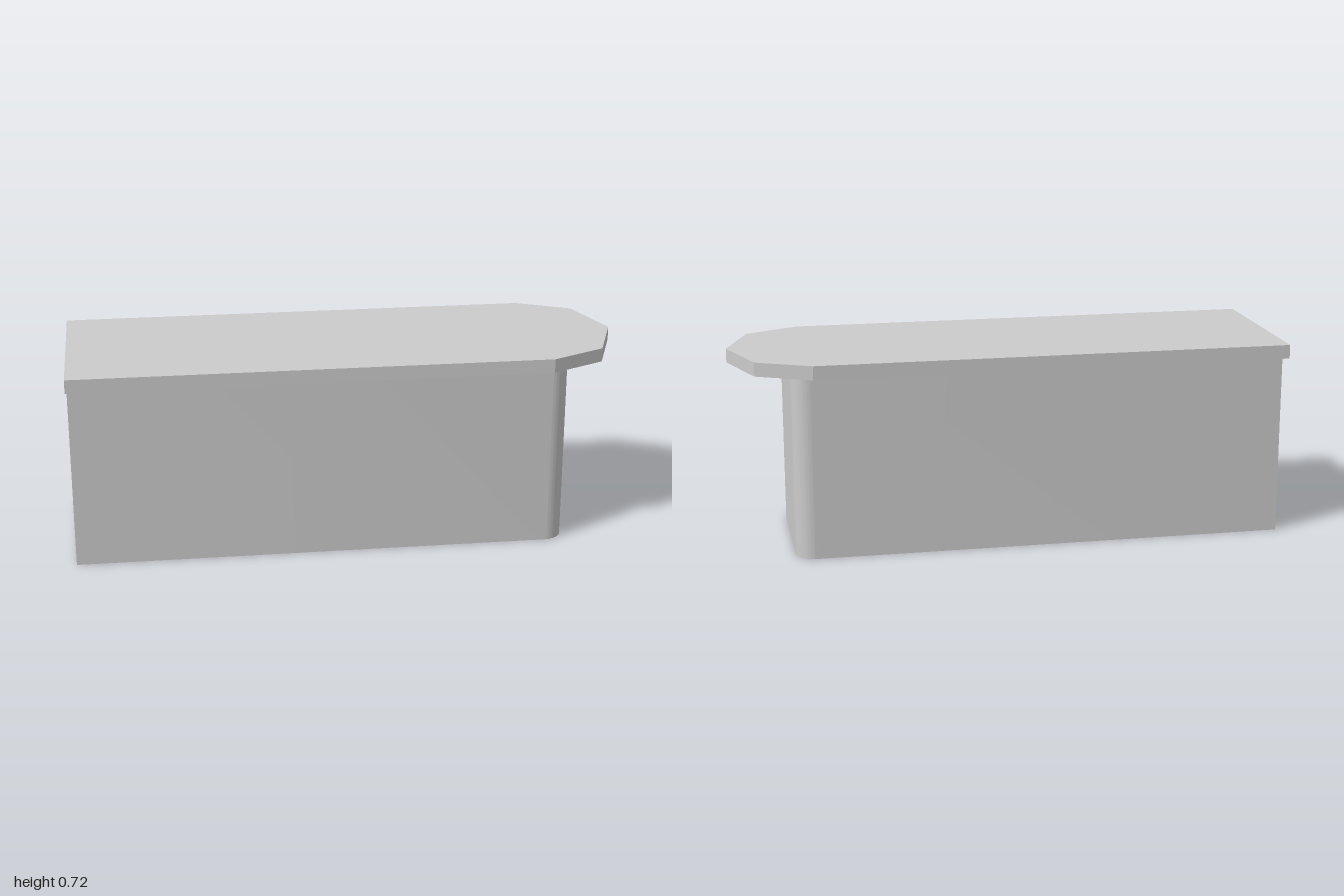
import * as THREE from 'three';
import { toCreasedNormals } from 'three/addons/utils/BufferGeometryUtils.js';

// Extrudes a plan outline (x, -z) upward from y0 to y1.
function extrudeUp(shape, y0, y1) {
  const geo = new THREE.ExtrudeGeometry(shape, { depth: y1 - y0, bevelEnabled: false, curveSegments: 10 });
  return geo.rotateX(-Math.PI / 2).translate(0, y0, 0);
}

// Removes the wall lying on the plane x = value, leaving that end open.
function openEnd(geo, value) {
  const p = geo.attributes.position;
  const kept = [];
  for (let i = 0; i < p.count; i += 3) {
    const onPlane = [0, 1, 2].every((k) => Math.abs(p.getX(i + k) - value) < 1e-4);
    if (onPlane) continue;
    for (let k = 0; k < 3; k++) kept.push(p.getX(i + k), p.getY(i + k), p.getZ(i + k));
  }
  const out = new THREE.BufferGeometry();
  out.setAttribute('position', new THREE.Float32BufferAttribute(kept, 3));
  out.computeVertexNormals();
  return out;
}

export function createModel() {
  const model = new THREE.Group();
  model.name = 'counter';

  // Base cabinet: square at one end, rounded corners at the other
  const back = 0.27, front = -0.29, left = -0.995, right = 0.79, r = 0.07;
  const plan = new THREE.Shape();
  plan.moveTo(left, front);
  plan.lineTo(right - r, front);
  plan.absarc(right - r, front + r, r, -Math.PI / 2, 0, false);
  plan.lineTo(right, back - r);
  plan.absarc(right - r, back - r, r, 0, Math.PI / 2, false);
  plan.lineTo(left, back);
  plan.closePath();
  const base = new THREE.Mesh(
    toCreasedNormals(extrudeUp(plan, 0, 0.67), 0.6),
    new THREE.MeshStandardMaterial({ color: 0xcccccc })
  );
  base.name = 'base';
  model.add(base);

  // Worktop: thin slab with a faceted nose overhanging the rounded end
  const half = [[-1, 0.33], [0.72, 0.33], [0.915, 0.235]];
  const outline = [
    ...half.map(([x, y]) => new THREE.Vector2(x, -y)),
    new THREE.Vector2(1, 0),
    ...half.slice().reverse().map(([x, y]) => new THREE.Vector2(x, y)),
  ];
  const worktop = new THREE.Mesh(
    openEnd(extrudeUp(new THREE.Shape(outline), 0.67, 0.72), -1),
    new THREE.MeshStandardMaterial({ color: 0xcccccc, flatShading: true, side: THREE.DoubleSide })
  );
  worktop.name = 'worktop';
  model.add(worktop);

  return model;
}
